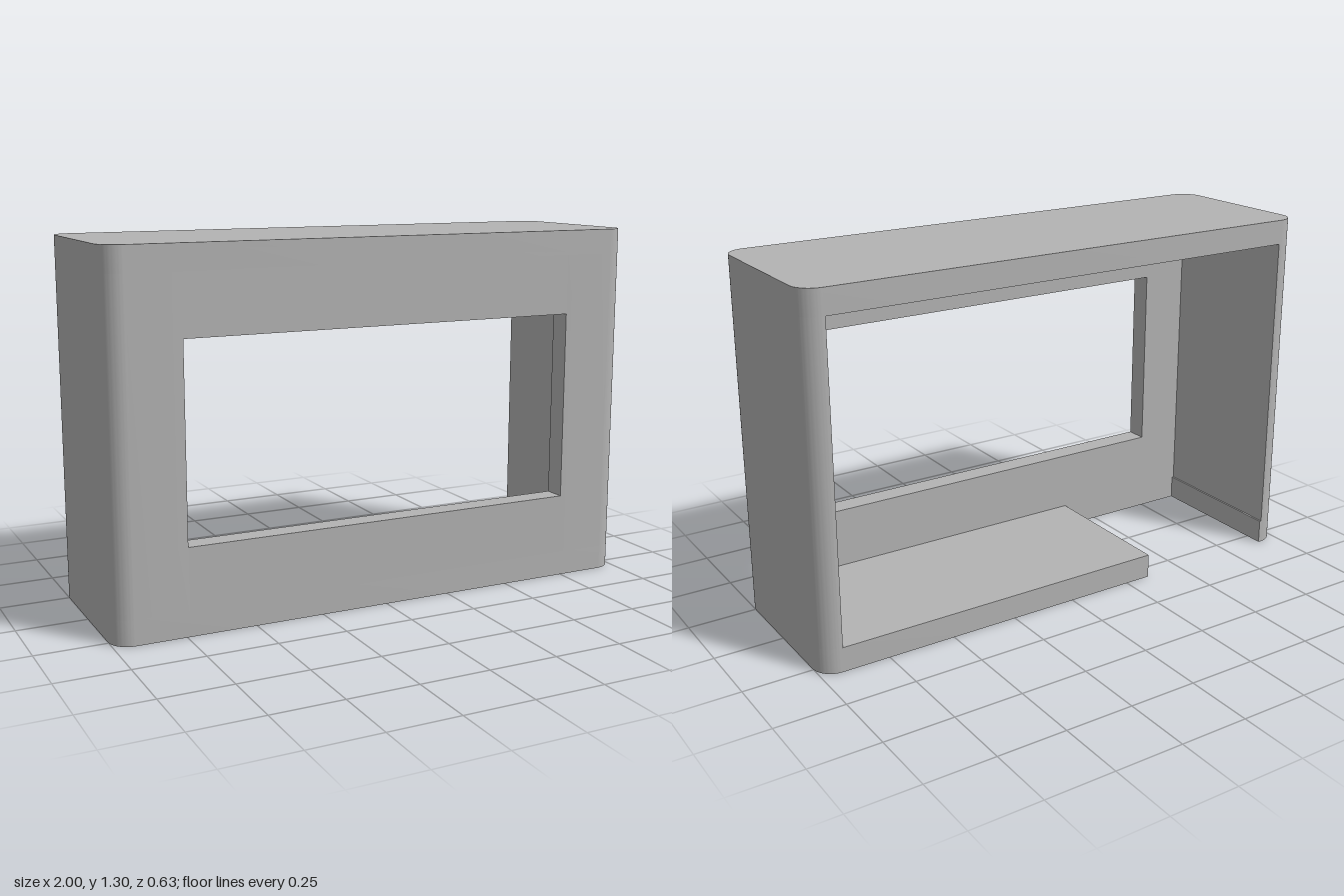
import * as THREE from 'three';
import { toCreasedNormals } from 'three/addons/utils/BufferGeometryUtils.js';

// Overall half sizes, corner radius and wall thickness
const X = 1, Z = 0.317, H = 1.305, R = 0.075, WALL = 0.08, SLAB = 0.09;
const INNER_X = X - WALL, INNER_Z = Z - WALL;
// Front window and floor slot
const WIN_X = 0.74, WIN_LOW = 0.31, WIN_TOP = 1.0;
const SLOT_LEFT = -0.35, SLOT_RIGHT = -0.913;

export function createModel() {
  const group = new THREE.Group();
  group.name = 'frameHousing';
  const grey = new THREE.MeshStandardMaterial({ color: 0xb3b3b3 });
  grey.name = 'light grey';

  // Extrudes a plan (shape y = -z) upward from y0 to y1
  const addPlan = (name, shape, y0, y1) => {
    let geo = new THREE.ExtrudeGeometry(shape, { depth: y1 - y0, bevelEnabled: false, curveSegments: 12 });
    geo = toCreasedNormals(geo.rotateX(-Math.PI / 2), 0.6);
    const mesh = new THREE.Mesh(geo, grey);
    mesh.name = name;
    mesh.position.y = y0;
    group.add(mesh);
  };

  // Rounded slab plan, with an optional slot open at the back
  const slabPlan = (slotted) => {
    const s = new THREE.Shape();
    s.moveTo(-X + R, -Z);
    s.lineTo(X - R, -Z);
    s.absarc(X - R, -Z + R, R, -Math.PI / 2, 0);
    s.lineTo(X, Z - R);
    s.absarc(X - R, Z - R, R, 0, Math.PI / 2);
    if (slotted) {
      s.lineTo(SLOT_LEFT, Z);
      s.lineTo(SLOT_LEFT, -INNER_Z);
      s.lineTo(SLOT_RIGHT, -INNER_Z);
      s.lineTo(SLOT_RIGHT, Z);
    }
    s.lineTo(-X + R, Z);
    s.absarc(-X + R, Z - R, R, Math.PI / 2, Math.PI);
    s.lineTo(-X, -Z + R);
    s.absarc(-X + R, -Z + R, R, Math.PI, Math.PI * 1.5);
    return s;
  };
  addPlan('floor', slabPlan(true), 0, SLAB);
  addPlan('top', slabPlan(false), H - SLAB, H);

  // L-shaped side walls that wrap round the front corners to the window
  for (const side of [1, -1]) {
    const s = new THREE.Shape();
    const start = side > 0 ? -Math.PI / 2 : -Math.PI / 2;
    const end = side > 0 ? 0 : -Math.PI;
    s.moveTo(side * WIN_X, -Z);
    s.lineTo(side * (X - R), -Z);
    s.absarc(side * (X - R), -Z + R, R, start, end, side < 0);
    s.lineTo(side * X, Z - R);
    s.absarc(side * (X - R), Z - R, R, side > 0 ? 0 : Math.PI, Math.PI / 2, side < 0);
    s.lineTo(side * INNER_X, Z - 0.0005);
    s.lineTo(side * INNER_X, -INNER_Z);
    s.lineTo(side * WIN_X, -INNER_Z);
    addPlan(side > 0 ? 'leftWall' : 'rightWall', s, SLAB, H - SLAB);
  }

  // Front panel strips below and above the window
  for (const [name, y0, y1] of [['windowSill', SLAB, WIN_LOW], ['windowHeader', WIN_TOP, H - SLAB]]) {
    const mesh = new THREE.Mesh(new THREE.BoxGeometry(WIN_X * 2, y1 - y0, WALL), grey);
    mesh.name = name;
    mesh.position.set(0, (y0 + y1) / 2, Z - WALL / 2);
    group.add(mesh);
  }
  return group;
}
